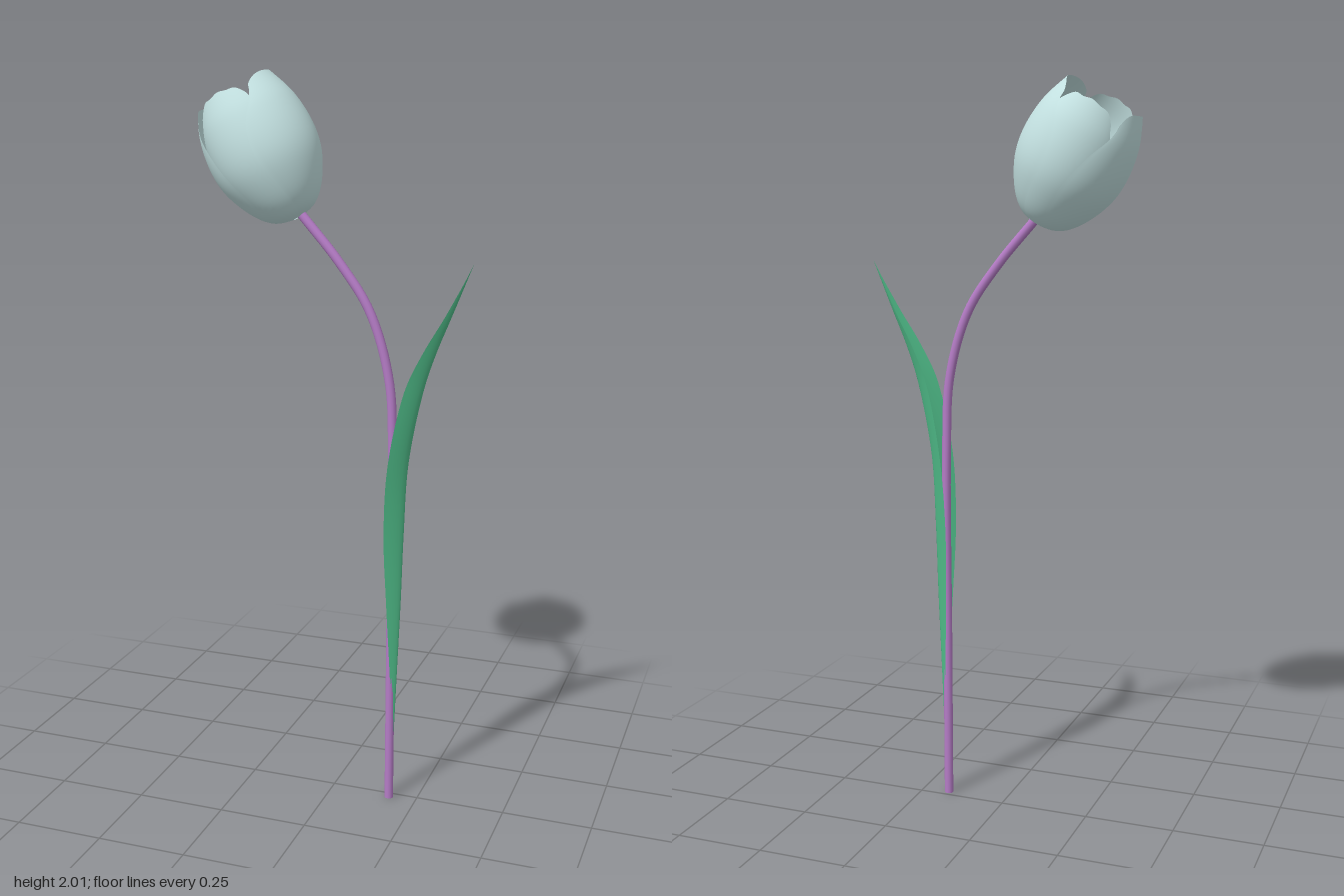
import * as THREE from 'three';

const material = (color) => new THREE.MeshStandardMaterial({ color, side: THREE.DoubleSide });
const V3 = (x, y, z) => new THREE.Vector3(x, y, z);
const spline = (points) => new THREE.SplineCurve(points.map(([x, y]) => new THREE.Vector2(x, y)));

function mesh(name, geometry, mat) {
  const m = new THREE.Mesh(geometry, mat);
  m.name = name;
  return m;
}

// Bends a flat grid into a surface: u runs -1..1 across, v runs 0..1 along
function sheet(across, along, place) {
  const geometry = new THREE.PlaneGeometry(2, 1, across, along);
  const pos = geometry.attributes.position;
  for (let i = 0; i < pos.count; i++) {
    const p = place(pos.getX(i), pos.getY(i) + 0.5);
    pos.setXYZ(i, p.x, p.y, p.z);
  }
  geometry.computeVertexNormals();
  return geometry;
}

// Cup outline as (radius, height), shared by all petals
const cup = spline([
  [0.008, 0], [0.06, 0.015], [0.103, 0.06], [0.139, 0.135],
  [0.149, 0.21], [0.138, 0.295], [0.108, 0.372],
]);

// widths: half angle in degrees at even steps from base to tip
function petalGeometry({ widths, scale, length, drop, ripple }) {
  const width = spline(widths.map((w) => [w, 0]));
  return sheet(28, 32, (u, v) => {
    const rim = length * (1 - drop * Math.pow(Math.abs(u), 3) + ripple * Math.sin(u * 9 + 1));
    const profile = cup.getPoint(Math.min(1, v * rim));
    const angle = u * THREE.MathUtils.degToRad(width.getPoint(v).x);
    // side edges hug the cup a little closer than the middle
    const r = profile.x * scale * (1 - 0.02 * u * u);
    return V3(r * Math.sin(angle), profile.y, r * Math.cos(angle));
  });
}

export function createModel() {
  const group = new THREE.Group();
  const stemMat = material(0xb57cc6);
  const leafMat = material(0x4fbb88);
  const petalMat = material(0xc4e2e2);

  // Stem: straight below, nodding over at the top
  const stemPath = new THREE.CatmullRomCurve3([
    V3(0.172, 0, 0.02), V3(0.172, 0.5, 0.02), V3(0.172, 1, 0.02), V3(0.16, 1.22, 0.02),
    V3(0.105, 1.4, 0.019), V3(0.02, 1.525, 0.018), V3(-0.085, 1.645, 0.016),
  ]);
  group.add(mesh('stem', new THREE.TubeGeometry(stemPath, 64, 0.0125, 12), stemMat));
  const foot = mesh('stemFoot', new THREE.CircleGeometry(0.0125, 12), stemMat);
  foot.rotation.x = Math.PI / 2;
  foot.position.set(0.172, 0, 0.02);
  group.add(foot);

  // Leaf: folded along its midrib, opening towards the stem
  const rib = new THREE.CatmullRomCurve3([
    V3(0.184, 0.19, 0.02), V3(0.192, 0.4, 0.02), V3(0.2, 0.6, 0.02), V3(0.206, 0.8, 0.02),
    V3(0.217, 1, 0.02), V3(0.255, 1.2, 0.018), V3(0.286, 1.3, 0.014),
    V3(0.325, 1.4, 0.008), V3(0.377, 1.535, 0),
  ]);
  // half width and fold depth at the same steps as the midrib
  const spread = spline([
    [0.004, 0.003], [0.014, 0.018], [0.026, 0.034], [0.039, 0.045], [0.047, 0.044],
    [0.04, 0.042], [0.03, 0.03], [0.017, 0.014], [0, 0],
  ]);
  const leaf = sheet(12, 48, (u, v) => {
    const p = rib.getPoint(v);
    const s = spread.getPoint(v);
    p.x -= s.y * Math.pow(Math.abs(u), 1.4);
    p.z -= s.x * u;
    return p;
  });
  group.add(mesh('leaf', leaf, leafMat));

  // Flower: two wide outer petals around two inner ones
  const flower = new THREE.Group();
  flower.name = 'flower';
  flower.position.set(-0.1, 1.635, 0.014);
  flower.quaternion.setFromUnitVectors(V3(0, 1, 0), V3(-0.485, 0.875, -0.045).normalize());
  const inner = { widths: [50, 62, 68, 66, 56, 38], scale: 0.955, length: 0.97, drop: 0.07, ripple: 0.006 };
  const petals = [
    { name: 'outerPetalLeft', turn: 90, widths: [50, 60, 70, 79, 74, 50], scale: 1, length: 1, drop: 0.07, ripple: 0 },
    { name: 'outerPetalRight', turn: -98, widths: [55, 64, 68, 64, 54, 34], scale: 1.005, length: 1, drop: 0.09, ripple: 0 },
    { name: 'innerPetalFront', turn: -5, ...inner },
    { name: 'innerPetalBack', turn: 180, ...inner, scale: 0.965 },
  ];
  for (const petal of petals) {
    const m = mesh(petal.name, petalGeometry(petal), petalMat);
    m.rotation.y = THREE.MathUtils.degToRad(petal.turn);
    flower.add(m);
  }
  group.add(flower);

  return group;
}
